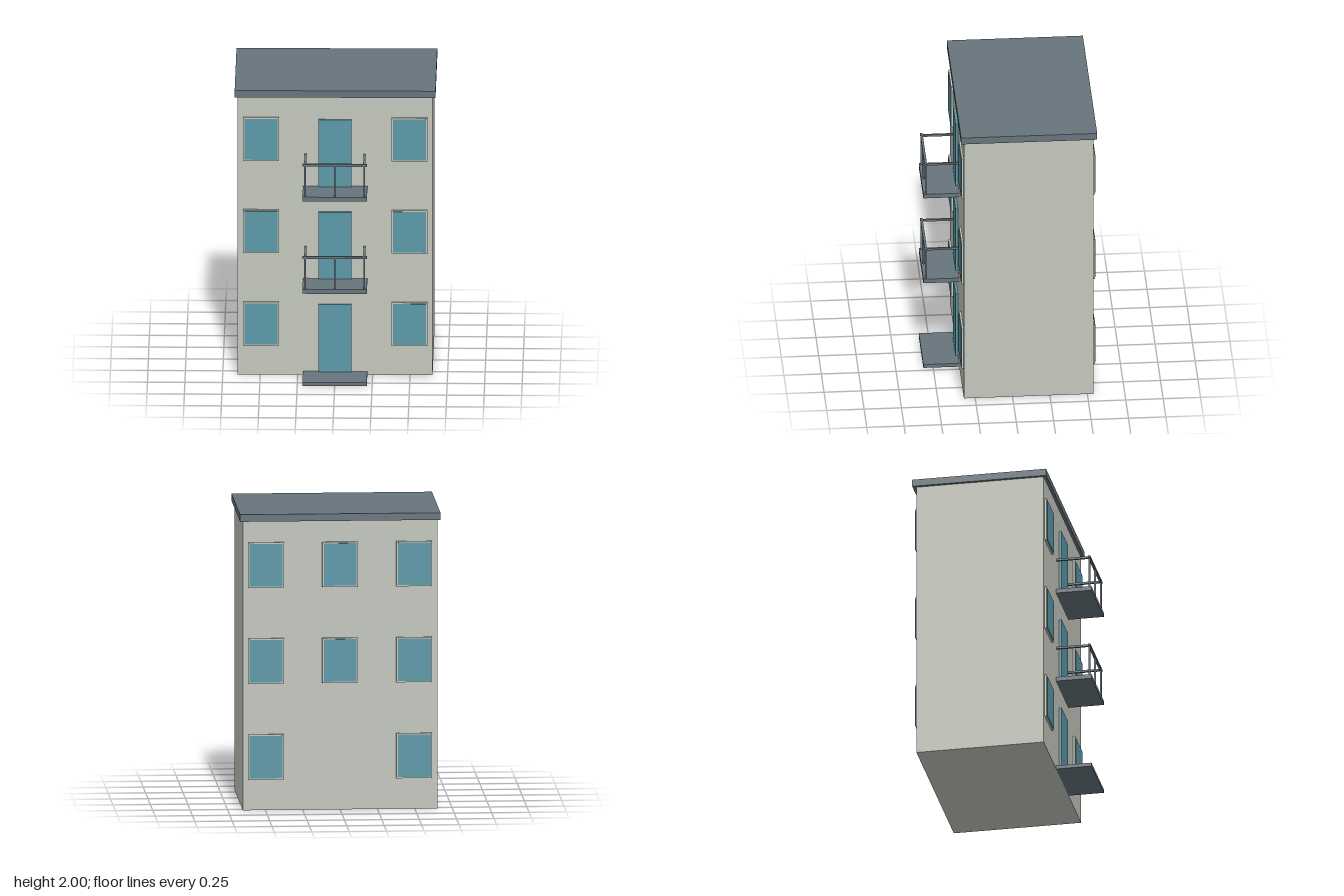
import * as THREE from 'three';

const wall = new THREE.MeshStandardMaterial({ name: 'plaster', color: 0xc3c6bc });
const slate = new THREE.MeshStandardMaterial({ name: 'slate', color: 0x68747c });
const glass = new THREE.MeshStandardMaterial({ name: 'tealGlass', color: 0x5a98a7 });

const FRONT = 0.325, BACK = -0.54, STOREY = 0.648;

// Box given by its minimum and maximum on each axis
function box(name, material, [x0, x1], [y0, y1], [z0, z1]) {
  const mesh = new THREE.Mesh(new THREE.BoxGeometry(x1 - x0, y1 - y0, z1 - z0), material);
  mesh.position.set((x0 + x1) / 2, (y0 + y1) / 2, (z0 + z1) / 2);
  mesh.name = name;
  return mesh;
}

// Window with a raised surround and a pane standing slightly proud of it
function makeWindow(x, y, z, facing) {
  const g = new THREE.Group();
  g.name = 'window';
  g.add(box('windowFrame', wall, [-0.12, 0.12], [-0.152, 0.152], [-0.005, 0.013]));
  g.add(box('windowPane', glass, [-0.11, 0.11], [-0.143, 0.143], [0.01, 0.017]));
  g.position.set(x, y, z);
  if (facing < 0) g.rotation.y = Math.PI;
  return g;
}

// Slab with three front posts and a handrail on three sides
function makeBalcony(y) {
  const g = new THREE.Group();
  g.name = 'balcony';
  g.add(box('balconySlab', slate, [-0.215, 0.215], [0, 0.03], [FRONT, 0.565]));
  g.add(box('frontRail', slate, [-0.215, 0.215], [0.242, 0.258], [0.54, 0.556]));
  for (const x of [-0.197, 0, 0.197]) {
    g.add(box('railPost', slate, [x - 0.006, x + 0.006], [0.03, 0.242], [0.542, 0.554]));
  }
  for (const x of [-0.197, 0.197]) {
    g.add(box('sideRail', slate, [x - 0.007, x + 0.007], [0.243, 0.257], [FRONT, 0.54]));
  }
  g.position.y = y;
  return g;
}

export function createModel() {
  const model = new THREE.Group();
  model.name = 'apartmentBuilding';

  model.add(box('walls', wall, [-0.65, 0.65], [0, 1.952], [BACK, FRONT]));
  model.add(box('roofSlab', slate, [-0.67, 0.67], [1.952, 2], [-0.565, 0.345]));
  model.add(box('doorstep', slate, [-0.215, 0.215], [0, 0.025], [FRONT, 0.565]));

  for (let floor = 0; floor < 3; floor++) {
    const y = floor * STOREY;
    // Outer windows on both faces
    for (const x of [-0.495, 0.495]) {
      model.add(makeWindow(x, y + 0.36, FRONT, 1));
      model.add(makeWindow(x, y + 0.36, BACK, -1));
    }
    // Front door on every storey
    model.add(box('door', glass, [-0.11, 0.11], [y + 0.025, y + 0.498], [FRONT - 0.005, 0.342]));
    // Upper storeys have a balcony and a middle window at the back
    if (floor > 0) {
      model.add(makeBalcony(y - 0.001));
      model.add(makeWindow(0, y + 0.36, BACK, -1));
    }
  }
  return model;
}
